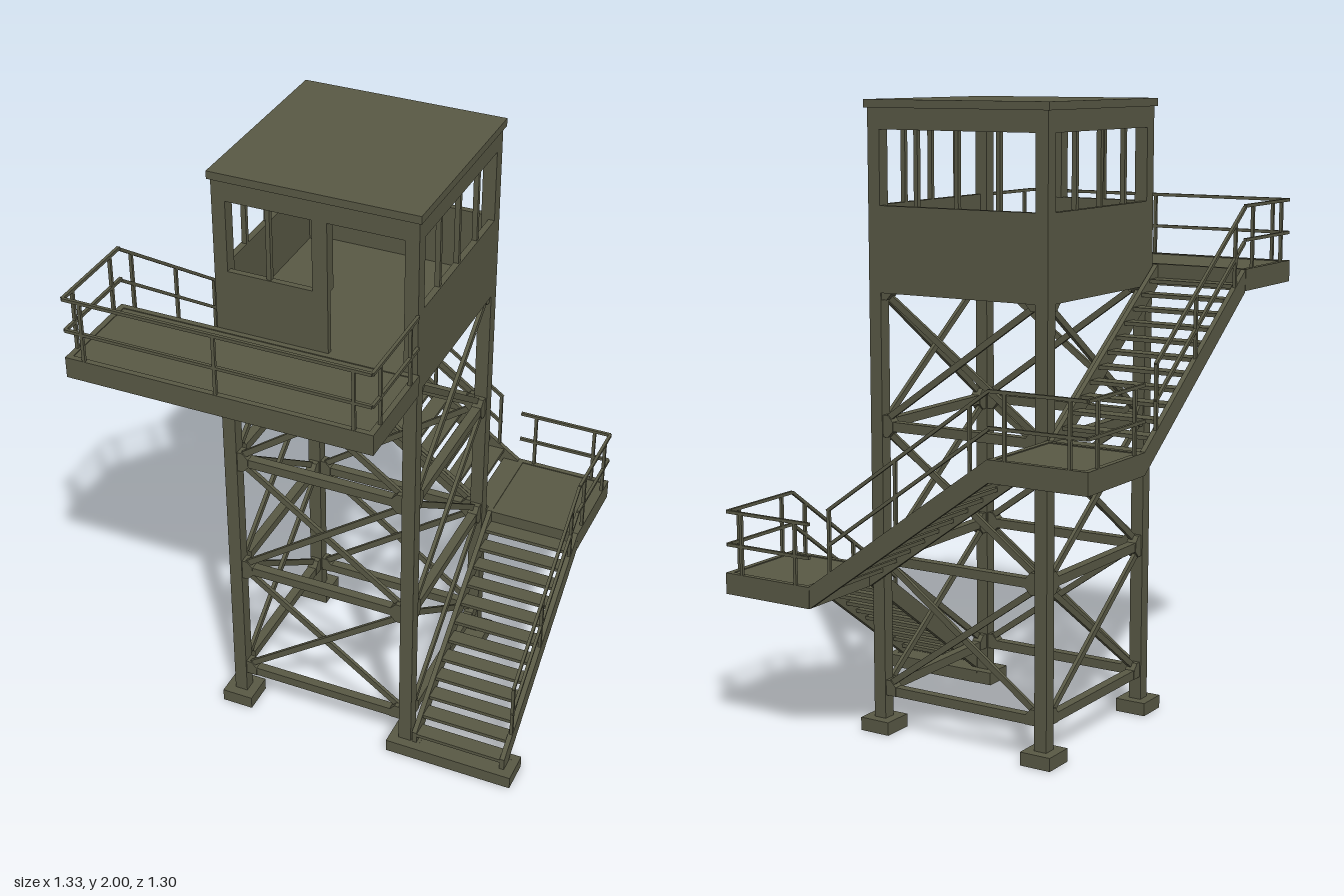
import * as THREE from 'three';

const olive = new THREE.MeshStandardMaterial({ color: 0x595945 });
olive.name = 'olive paint';

const CX = -0.016;             // tower centre in x
const HALF = 0.3;              // leg centre offset
const LEG = 0.043;
const OUT = HALF + LEG / 2;    // outer face of the tower
const RUN = 0.643, RISE = 0.465, WIDTH = 0.322;
const UP = new THREE.Vector3(0, 1, 0);

function add(parent, name, geometry) {
  const m = new THREE.Mesh(geometry, olive);
  m.name = name;
  parent.add(m);
  return m;
}

function group(parent, name) {
  const g = new THREE.Group();
  g.name = name;
  parent.add(g);
  return g;
}

// Box given by its limits on each axis
function box(parent, name, x0, x1, y0, y1, z0, z1) {
  const m = add(parent, name, new THREE.BoxGeometry(x1 - x0, y1 - y0, z1 - z0));
  m.position.set((x0 + x1) / 2, (y0 + y1) / 2, (z0 + z1) / 2);
}

// Straight bar between two points, in the parent's own frame
function bar(parent, name, a, b, w = 0.01, h = w) {
  const p = new THREE.Vector3(...a), q = new THREE.Vector3(...b);
  const m = add(parent, name, new THREE.BoxGeometry(w, h, p.distanceTo(q)));
  m.position.copy(p).lerp(q, 0.5);
  m.quaternion.setFromRotationMatrix(new THREE.Matrix4().lookAt(q, p, UP));
}

// Open rectangular rim
function rim(parent, name, x0, x1, y0, y1, z0, z1, t) {
  box(parent, name, x0, x1, y0, y1, z0, z0 + t);
  box(parent, name, x0, x1, y0, y1, z1 - t, z1);
  box(parent, name, x0, x0 + t, y0, y1, z0 + t, z1 - t);
  box(parent, name, x1 - t, x1, y0, y1, z0 + t, z1 - t);
}

// Deck plate on a rim, with a guard rail along a path of [x, z] points
function landing(parent, name, x0, x1, top, z0, z1, path) {
  const g = group(parent, name);
  rim(g, 'deckRim', x0, x1, top - 0.068, top, z0, z1, 0.018);
  box(g, 'deckPlate', x0 + 0.018, x1 - 0.018, top - 0.018, top - 0.003, z0 + 0.018, z1 - 0.018);
  for (let i = 0; i < path.length - 1; i++) {
    const [ax, az] = path[i], [bx, bz] = path[i + 1];
    for (const h of [0.09, 0.195]) bar(g, 'guardRail', [ax, top + h, az], [bx, top + h, bz]);
    const len = Math.hypot(bx - ax, bz - az);
    const inset = 0.055 / len;
    const spots = len > 0.6 ? [inset, 0.5, 1 - inset] : [inset, 1 - inset];
    for (const t of spots) {
      const x = ax + (bx - ax) * t, z = az + (bz - az) * t;
      bar(g, 'guardPost', [x, top - 0.02, z], [x, top + 0.195, z]);
    }
  }
}

// Stair flight climbing along local +x, hand rail on the local +z side
function flight(parent, name, x, y, z, angle) {
  const g = group(parent, name);
  g.position.set(x, y, z);
  g.rotation.y = angle;
  for (const s of [-1, 1]) {
    // sheared box, so the ends stay vertical
    const geo = new THREE.BoxGeometry(RUN, 0.07, 0.016);
    const p = geo.attributes.position;
    for (let i = 0; i < p.count; i++) p.setY(i, p.getY(i) + p.getX(i) * RISE / RUN);
    geo.computeVertexNormals();
    add(g, 'stringer', geo).position.set(RUN / 2, RISE / 2, s * (WIDTH / 2 - 0.008));
  }
  const n = 12, step = RUN / n;
  for (let i = 0; i < n; i++) {
    const ty = (i + 0.5) * RISE / n + 0.006;
    box(g, 'tread', i * step, (i + 1) * step, ty - 0.006, ty + 0.006, -WIDTH / 2 + 0.014, WIDTH / 2 - 0.014);
  }
  const slope = RISE / RUN, zr = WIDTH / 2 - 0.006;
  for (const h of [0.12, 0.228]) bar(g, 'handRail', [0.07, 0.07 * slope + h, zr], [RUN, RISE + h, zr]);
  for (const px of [0.075, 0.32, 0.58]) bar(g, 'railPost', [px, px * slope, zr], [px, px * slope + 0.228, zr]);
}

// Beams, cross braces and gussets of one tower side, facing local +z
function bracedSide(parent, angle) {
  const g = group(parent, 'bracedSide');
  g.position.x = CX;
  g.rotation.y = angle;
  const inner = HALF - LEG / 2, levels = [0.135, 0.565, 0.995, 1.425];
  levels.forEach((y, i) => {
    if (i < 3) {
      box(g, 'beam', -inner, inner, y - 0.015, y + 0.015, HALF - 0.015, HALF + 0.015);
      const y2 = levels[i + 1];
      for (const s of [-1, 1])
        bar(g, 'crossBrace', [-s * inner, y + 0.015, HALF + s * 0.006], [s * inner, y2 - 0.015, HALF + s * 0.006], 0.012, 0.02);
    }
    const up = i < 3 ? 0.035 : 0, down = i > 0 ? -0.035 : -0.015;
    const shape = new THREE.Shape([[0, down], [0.018, down], [0.036, -0.015], [0.036, Math.min(up, 0.015)], [0.018, up], [0, up]]
      .map(([a, b]) => new THREE.Vector2(a, b)));
    for (const s of [0, 1]) {
      const m = add(g, 'gusset', new THREE.ExtrudeGeometry(shape, { depth: 0.034, bevelEnabled: false }));
      m.rotation.y = s * Math.PI;
      m.position.set(s ? inner : -inner, y, HALF + (s ? 0.017 : -0.017));
    }
  });
}

// Walls, windows, floor and roof
function cabin(parent) {
  const g = group(parent, 'cabin');
  g.position.x = CX;
  const sill = 1.68, head = 1.91, base = 1.412;
  box(g, 'floor', -OUT + 0.01, OUT - 0.01, 1.455, 1.478, -OUT + 0.01, OUT - 0.01);
  rim(g, 'floorFrame', -OUT, OUT, base, 1.478, -OUT, OUT, 0.03);
  for (let k = 1; k < 4; k++) {
    const side = group(g, 'wallSide');
    side.rotation.y = k * Math.PI / 2;
    box(side, 'wall', -OUT, OUT, 1.478, sill, OUT - 0.02, OUT);
    for (const x of [-0.147, 0, 0.147])
      box(side, 'mullion', x - 0.007, x + 0.007, sill, head, OUT - 0.02, OUT - 0.004);
  }
  // front wall with the doorway on its +x half
  box(g, 'frontWall', -OUT, 0.041, 1.478, sill, OUT - 0.02, OUT);
  box(g, 'doorPost', -0.007, 0.041, sill, head, OUT - 0.04, OUT);
  box(g, 'mullion', -0.154, -0.14, sill, head, OUT - 0.02, OUT - 0.004);
  rim(g, 'windowHead', -OUT, OUT, head, 1.976, -OUT, OUT, LEG);
  box(g, 'roof', -0.33, 0.33, 1.975, 2, -0.33, 0.33);
}

export function createModel() {
  const model = new THREE.Group();
  model.name = 'watchtower';

  // Legs and hollow footings
  for (const sx of [-1, 1]) for (const sz of [-1, 1]) {
    const x = CX + sx * HALF, z = sz * HALF, f = 0.053, l = LEG / 2;
    box(model, 'leg', x - l, x + l, 0.03, 1.95, z - l, z + l);
    rim(model, 'footing', x - f, x + f, 0, 0.043, z - f, z + f, f - l);
  }
  for (let k = 0; k < 4; k++) bracedSide(model, k * Math.PI / 2);
  cabin(model);

  // Stair base
  rim(model, 'stairBase', 0.285, 0.664, 0, 0.043, 0.245, 0.353, 0.025);
  box(model, 'stairBaseTop', 0.29, 0.659, 0.03, 0.042, 0.25, 0.348);

  // Flights winding around the tower
  flight(model, 'lowerFlight', 0.471, 0.048, 0.322, Math.PI / 2);
  flight(model, 'middleFlight', 0.306, 0.513, -0.486, Math.PI);
  flight(model, 'upperFlight', -0.503, 0.978, -0.322, -Math.PI / 2);

  // Landings
  const L = -0.665, R = 0.632, B = -0.649, F = 0.649, e = 0.006;
  landing(model, 'lowerLanding', 0.306, R, 0.546, B, -OUT, [[R - e, -OUT], [R - e, B + e], [0.306, B + e]]);
  landing(model, 'middleLanding', L, CX - OUT, 1.012, B, -OUT, [[CX - OUT, B + e], [L + e, B + e], [L + e, -OUT]]);
  landing(model, 'balcony', L, 0.312, 1.48, OUT, F, [[L + e, OUT], [L + e, F - e], [0.306, F - e], [0.306, OUT]]);
  return model;
}
